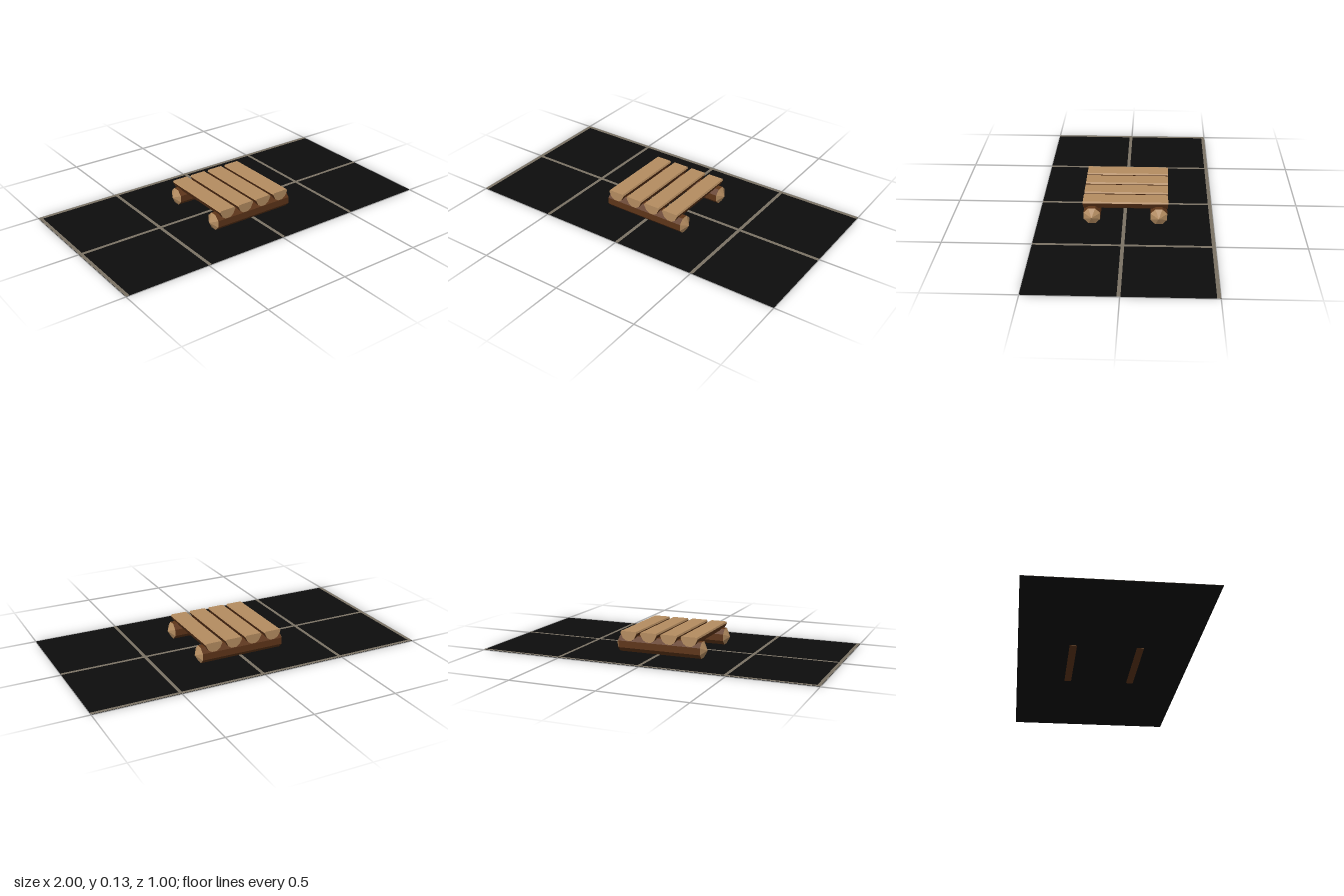
import * as THREE from 'three';

const mat = (name, color, side = THREE.FrontSide) => {
  const m = new THREE.MeshStandardMaterial({ color, side, flatShading: true });
  m.name = name;
  return m;
};

export function createModel() {
  const model = new THREE.Group();
  const wood = mat('cut wood', 0xb48c60);
  const bark = mat('bark', 0x5e3519);
  const black = mat('black ground', 0x0d0d0d, THREE.DoubleSide);
  const grey = mat('grey grid', 0x7a7264, THREE.DoubleSide);

  const add = (name, geometry, material, x = 0, y = 0, z = 0, parent = model) => {
    const mesh = new THREE.Mesh(geometry, material);
    mesh.name = name;
    mesh.position.set(x, y, z);
    parent.add(mesh);
    return mesh;
  };

  // Ground sheet with thin grid lines
  const flat = (w, d) => new THREE.PlaneGeometry(w, d).rotateX(-Math.PI / 2);
  add('groundSheet', flat(2, 1), black, 0, 0.001, 0);
  for (const x of [-0.99, -0.492, 0.006, 0.503]) add('gridLineAcross', flat(0.02, 1), grey, x, 0.003, 0);
  for (const z of [-0.49, 0.006]) add('gridLineAlong', flat(2, 0.02), grey, 0, 0.003, z);

  // Two eight-sided logs with pointed cut ends
  const R = 0.0475 / Math.cos(Math.PI / 8);
  const a = Math.PI / 8;
  const trunk = new THREE.CylinderGeometry(R, R, 0.506, 8, 1, true, a).rotateZ(-Math.PI / 2);
  const tip = new THREE.ConeGeometry(R, 0.029, 8, 1, true, a).rotateZ(-Math.PI / 2);
  for (const z of [-0.19, 0.19]) {
    const log = new THREE.Group();
    log.name = z > 0 ? 'frontLog' : 'backLog';
    log.position.set(0, 0.0475, z);
    add('logBark', trunk, bark, 0, 0, 0, log);
    for (const s of [-1, 1]) {
      const end = add('logEnd', tip, wood, s * 0.2675, 0, 0, log);
      if (s < 0) end.rotation.y = Math.PI;
    }
    model.add(log);
  }

  // Four half-log planks: bark underside, bevelled wooden top
  const extrude = (half) => {
    const pts = [...half.map(([x, y]) => new THREE.Vector2(x, y)),
      ...[...half].reverse().map(([x, y]) => new THREE.Vector2(-x, y))];
    return new THREE.ExtrudeGeometry(new THREE.Shape(pts), { depth: 0.484, bevelEnabled: false })
      .translate(0, 0, -0.242);
  };
  const lower = extrude([[0.015, 0.072], [0.036, 0.086], [0.052, 0.118]]);
  const upper = extrude([[0.052, 0.118], [0.047, 0.127]]);
  for (let i = 0; i < 4; i++) {
    const plank = new THREE.Group();
    plank.name = 'plank' + (i + 1);
    plank.position.x = -0.19 + i * 0.125;
    add('plankUnderside', lower, [wood, bark], 0, 0, 0, plank);
    add('plankTop', upper, wood, 0, 0, 0, plank);
    model.add(plank);
  }
  return model;
}
